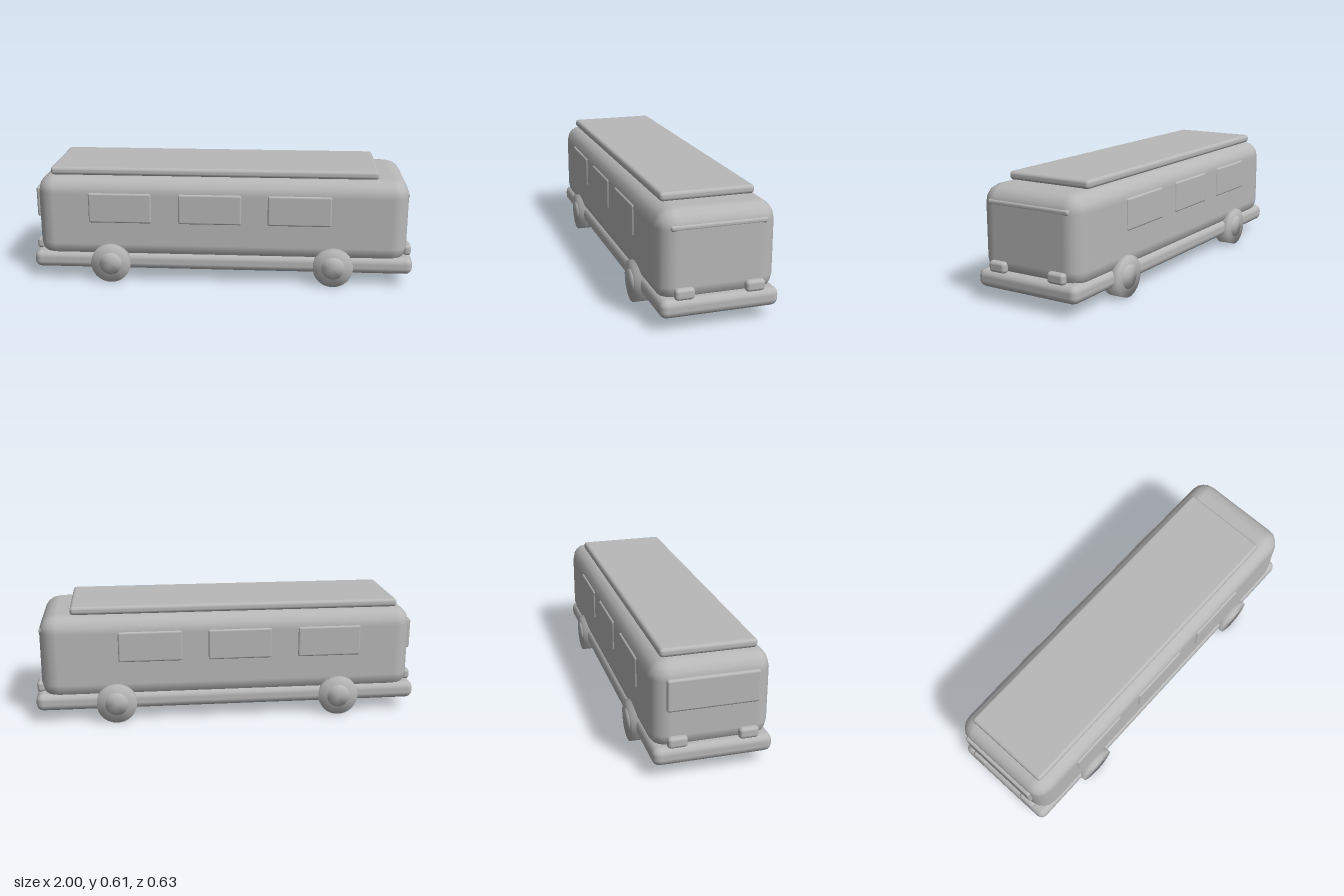
import * as THREE from 'three';
import { RoundedBoxGeometry } from 'three/addons/geometries/RoundedBoxGeometry.js';

export function createModel() {
  const bus = new THREE.Group();
  bus.name = 'bus';
  const grey = new THREE.MeshStandardMaterial({ color: 0xb8b8b8 });
  grey.name = 'grey';

  // Rounded block given by its limits on each axis
  function block(name, [x0, x1], [y0, y1], [z0, z1], radius, segments = 2) {
    const geometry = new RoundedBoxGeometry(x1 - x0, y1 - y0, z1 - z0, segments, radius);
    const mesh = new THREE.Mesh(geometry, grey);
    mesh.name = name;
    mesh.position.set((x0 + x1) / 2, (y0 + y1) / 2, (z0 + z1) / 2);
    bus.add(mesh);
  }

  // Chassis, body and raised roof panel
  block('chassis', [-1, 1], [0.065, 0.155], [-0.29, 0.29], 0.035);
  block('body', [-0.972, 0.97], [0.115, 0.565], [-0.29, 0.29], 0.09);
  block('roofPanel', [-0.9, 0.81], [0.562, 0.606], [-0.234, 0.234], 0.018);

  // End window and the slim strip across the opposite end
  block('endWindow', [-0.985, -0.955], [0.33, 0.49], [-0.222, 0.222], 0.012);
  block('endStrip', [0.945, 0.971], [0.47, 0.498], [-0.234, 0.234], 0.012);

  // Side windows
  for (const side of [-1, 1]) {
    for (const x of [-0.53, -0.06, 0.405]) {
      const z = side > 0 ? [0.27, 0.297] : [-0.297, -0.27];
      block('sideWindow', [x - 0.165, x + 0.165], [0.324, 0.484], z, 0.01);
    }
  }

  // Lamps at both ends
  for (const end of [-1, 1]) {
    for (const z of [-0.172, 0.172]) {
      const x = end > 0 ? [0.955, 0.997] : [-0.997, -0.955];
      block('lamp', x, [0.149, 0.205], [z - 0.048, z + 0.048], 0.017);
    }
  }

  // Wheels with hubs, softly shaded over their rims
  const disc = (radius, inner, outer) => new THREE.LatheGeometry(
    [[0, inner], [radius, inner], [radius, outer], [0, outer]].map(([r, h]) => new THREE.Vector2(r, h)), 32);
  const tyre = disc(0.104, 0.228, 0.311);
  const hub = disc(0.06, 0.24, 0.315);
  for (const x of [-0.585, 0.585]) {
    for (const side of [-1, 1]) {
      const wheel = new THREE.Group();
      wheel.name = 'wheel';
      for (const [name, geometry] of [['tyre', tyre], ['hub', hub]]) {
        const mesh = new THREE.Mesh(geometry, grey);
        mesh.name = name;
        wheel.add(mesh);
      }
      wheel.rotation.x = side * Math.PI / 2;
      wheel.position.set(x, 0.104, 0);
      bus.add(wheel);
    }
  }
  return bus;
}
